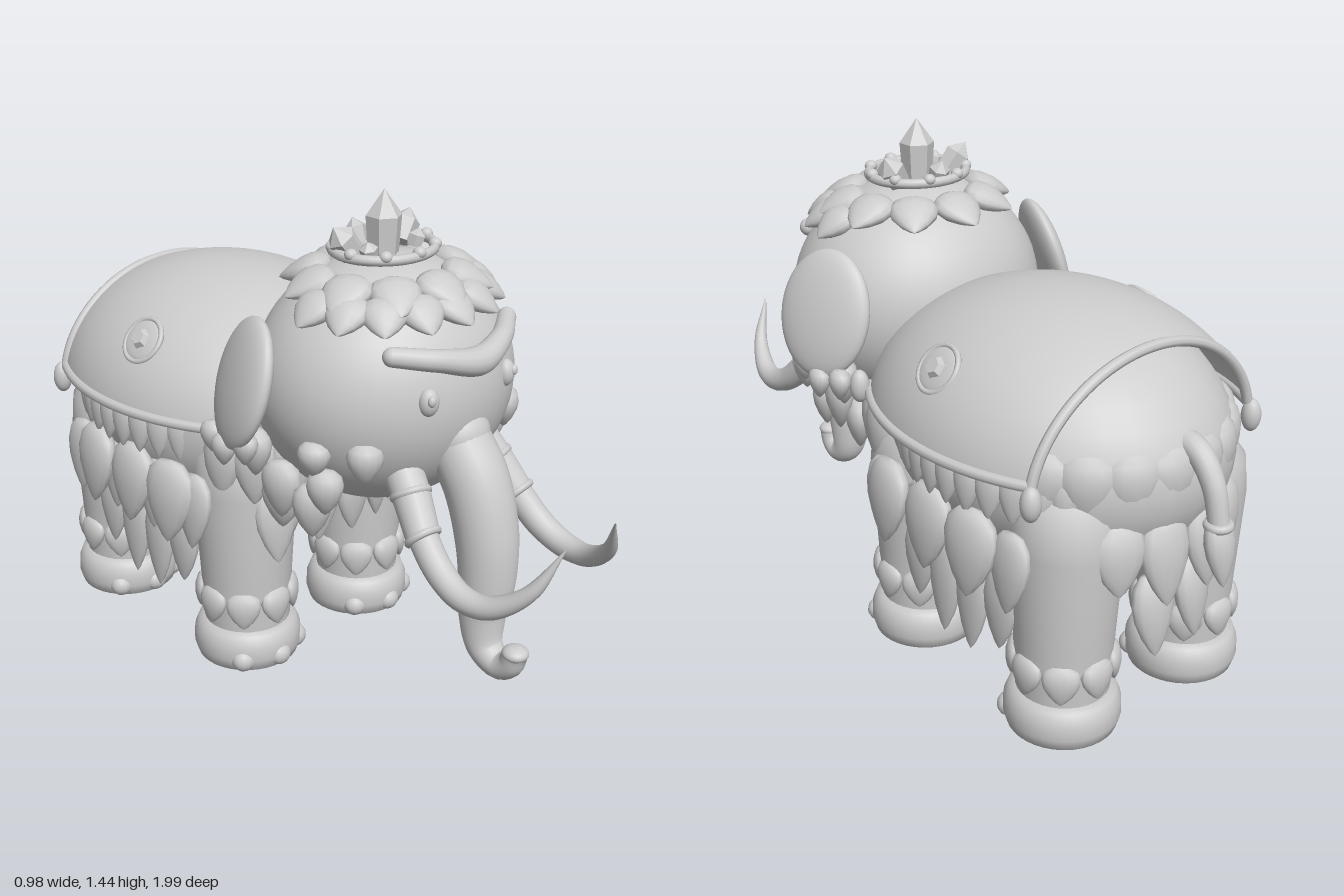
import * as THREE from 'three';
import { ParametricGeometry } from 'three/addons/geometries/ParametricGeometry.js';

const stone = new THREE.MeshStandardMaterial({ color: 0xcccccc, side: THREE.DoubleSide });
stone.name = 'stone grey';

const V = (x, y, z) => new THREE.Vector3(x, y, z);
const ball = new THREE.SphereGeometry(1, 32, 20);
const smallBall = new THREE.SphereGeometry(1, 14, 10);
const lathe = (pts, n) => new THREE.LatheGeometry(pts.map(([x, y]) => new THREE.Vector2(x, y)), n);

// Rounded leaf hanging from its top, pointed at the bottom; outward is +z
const leafGeo = lathe([[0, -1], [0.12, -0.93], [0.3, -0.76], [0.45, -0.54], [0.5, -0.34], [0.44, -0.15], [0.26, -0.03], [0, 0]], 14);

function add(parent, name, geo, pos = [0, 0, 0], scale = [1, 1, 1], rot = [0, 0, 0]) {
  const m = new THREE.Mesh(geo, stone);
  m.name = name;
  m.position.set(...pos);
  m.scale.set(...scale);
  m.rotation.set(...rot, 'YXZ');
  parent.add(m);
  return m;
}

function group(parent, name) {
  const g = new THREE.Group();
  g.name = name;
  parent.add(g);
  return g;
}

// Leaf facing azimuth az, its tip swung outward by tilt
function leaf(parent, name, pos, az, tilt, w, l, th = 0.05) {
  return add(parent, name, leafGeo, pos, [w, l, th], [-tilt, az, 0]);
}

// Leaves around an oval, from angle a0 to a1 (0 is the front)
function leafRing(parent, name, { n, cz = 0, rx, rz, y, w, l, th = 0.05, tilt = 0.1, a0 = 0, a1 = Math.PI * 2 }) {
  const full = a1 - a0 > 6.28;
  for (let i = 0; i < n; i++) {
    const a = a0 + (a1 - a0) * i / (full ? n : n - 1);
    const s = Math.sin(a), q = Math.cos(a);
    leaf(parent, name, [rx * s, y, cz + rz * q], Math.atan2(s / rx, q / rz), tilt, w, l, th);
  }
}

// Tube whose radius follows a list of values
function taperTube(points, radii, n = 40, sides = 20) {
  const curve = new THREE.CatmullRomCurve3(points);
  const geo = new THREE.TubeGeometry(curve, n, 1, sides);
  const p = geo.attributes.position, v = V(0, 0, 0);
  for (let i = 0; i <= n; i++) {
    const t = i / n, f = t * (radii.length - 1), j = Math.min(Math.floor(f), radii.length - 2);
    const r = THREE.MathUtils.lerp(radii[j], radii[j + 1], f - j), c = curve.getPointAt(t);
    for (let s = 0; s <= sides; s++) {
      const id = i * (sides + 1) + s;
      v.fromBufferAttribute(p, id).sub(c).multiplyScalar(r).add(c);
      p.setXYZ(id, v.x, v.y, v.z);
    }
  }
  return geo;
}

// Saddle cloth surface: u across the back, v from front to rear
function cloth(u, v, out) {
  const z = 0.05 - 0.74 * v, f = Math.sqrt(1 - ((z + 0.36) / 0.59) ** 2);
  const e = Math.asin(0.06 / (0.39 * f)), a = e + (Math.PI - 2 * e) * u;
  return out.set(0.48 * f * Math.cos(a), 0.72 + 0.39 * f * Math.sin(a), z);
}

function buildBody(root) {
  const g = group(root, 'body');
  add(g, 'torso', ball, [0, 0.72, -0.36], [0.43, 0.36, 0.52]);
  add(g, 'neck', ball, [0, 0.78, 0.05], [0.27, 0.26, 0.2]);
  for (const s of [1, -1]) {
    // Flank: fringe under the cloth, then large and lower leaves between the legs
    leafRing(g, 'fringeLeaf', { n: 13, cz: -0.38, rx: 0.425, rz: 0.44, y: 0.785, w: 0.085, l: 0.15, a0: s * 0.6, a1: s * 2.4 });
    for (let i = 0; i < 3; i++)
      leaf(g, 'skirtLeaf', [s * 0.415, 0.65, -0.15 - 0.175 * i], s * (1.45 + 0.12 * i), 0.12, 0.18, 0.25, 0.08);
    for (let i = 0; i < 4; i++) {
      leaf(g, 'skirtUnderLeaf', [s * 0.385, 0.62, -0.08 - 0.18 * i], s * Math.PI / 2, 0.1, 0.14, 0.23, 0.06);
      leaf(g, 'lowerSkirtLeaf', [s * 0.345, 0.46, -0.19 - 0.115 * i], s * Math.PI / 2, 0.05, 0.13, i % 3 ? 0.3 : 0.24, 0.06);
      leaf(g, 'bellyLeaf', [s * 0.2, 0.48, -0.22 - 0.09 * i], s * Math.PI / 2, 0.05, 0.11, 0.22);
    }
    // Stack of leaves behind, between the rear legs
    for (const [x, y, z, w, l] of [[0.07, 0.65, -0.83, 0.15, 0.25], [0.19, 0.65, -0.79, 0.15, 0.2], [0.07, 0.47, -0.8, 0.13, 0.24]])
      leaf(g, 'rearLeaf', [s * x, y, z], Math.PI - s * x * 2, 0.15, w, l, 0.07);
    leaf(g, 'chestLeaf', [s * 0.24, 0.6, 0.09], s * 0.3, 0.1, 0.13, 0.24, 0.06);
  }
  // Chest plumage
  leafRing(g, 'chestLeaf', { n: 9, cz: -0.05, rx: 0.34, rz: 0.25, y: 0.77, w: 0.13, l: 0.21, a0: -1.4, a1: 1.4, th: 0.08 });
  leafRing(g, 'chestLeaf', { n: 7, cz: -0.05, rx: 0.3, rz: 0.21, y: 0.61, w: 0.12, l: 0.21, a0: -1.2, a1: 1.2, tilt: 0, th: 0.06 });
  // Rump plumage
  leafRing(g, 'rumpLeaf', { n: 8, cz: -0.38, rx: 0.39, rz: 0.45, y: 0.84, w: 0.16, l: 0.19, a0: 2.2, a1: 4.08, th: 0.09, tilt: 0.08 });
  // Tail with tuft
  const tail = [V(0, 0.84, -0.79), V(0, 0.82, -0.87), V(0, 0.75, -0.925), V(0, 0.64, -0.953)];
  add(g, 'tail', taperTube(tail, [0.035, 0.034, 0.03, 0.027], 20, 14));
  leaf(g, 'tailTuft', [0, 0.67, -0.945], Math.PI, 0.19, 0.095, 0.19, 0.065);
  add(g, 'tailRing', new THREE.TorusGeometry(0.028, 0.012, 8, 18), [0, 0.65, -0.95], [1, 1, 1], [Math.PI / 2, 0, 0]);
}

function buildSaddle(root) {
  const g = group(root, 'saddleCloth');
  add(g, 'cloth', new ParametricGeometry(cloth, 48, 24));
  const edge = (name, fn) => {
    const pts = Array.from({ length: 25 }, (_, i) => cloth(...fn(i / 24), V(0, 0, 0)));
    add(g, name, new THREE.TubeGeometry(new THREE.CatmullRomCurve3(pts), 48, 0.015, 8));
  };
  edge('sideHem', t => [0, t]);
  edge('sideHem', t => [1, t]);
  edge('rearPiping', t => [t, 1]);
  for (const s of [1, -1]) {
    for (const [x, y, z] of [[0.4, 0.74, -0.7], [0.38, 0.79, 0.04]])
      add(g, 'cornerTassel', smallBall, [s * x, y, z], [0.028, 0.048, 0.028]);
    // Medallion with a cut gem
    const m = group(g, 'medallion');
    m.position.set(s * 0.375, 0.958, -0.31);
    m.lookAt(s * 2.175, 2.358, -0.25);
    add(m, 'medallionDisc', ball, [0, 0, 0], [0.07, 0.062, 0.012]);
    add(m, 'medallionRim', new THREE.TorusGeometry(0.066, 0.008, 8, 32));
    const gem = new THREE.CylinderGeometry(0.022, 0.034, 0.02, 6).toNonIndexed();
    gem.computeVertexNormals();
    add(m, 'gem', gem, [0, 0, 0.016], [1, 1, 1], [Math.PI / 2, 0, 0]);
  }
}

function buildLegs(root) {
  const footGeo = lathe([[0, 0], [0.13, 0], [0.15, 0.012], [0.16, 0.045], [0.158, 0.085], [0.145, 0.118], [0.122, 0.13], [0, 0.13]], 36);
  const legGeo = lathe([[0.126, 0.1], [0.136, 0.3], [0.151, 0.56], [0.142, 0.66], [0.1, 0.72], [0, 0.75]], 32);
  for (const z of [-0.05, -0.65]) for (const s of [1, -1]) {
    const g = group(root, z > -0.3 ? 'frontLeg' : 'rearLeg');
    g.position.set(s * 0.23, 0, z);
    add(g, 'leg', legGeo);
    add(g, 'foot', footGeo);
    for (const a of [-0.8, 0, 0.8])
      add(g, 'toe', smallBall, [0.14 * Math.sin(a), 0.043, 0.14 * Math.cos(a)], [0.037, 0.035, 0.034]);
    leafRing(g, 'ankletLeaf', { n: 8, rx: 0.124, rz: 0.124, y: 0.257, w: 0.105, l: 0.115, tilt: 0.12 });
  }
}

function buildHead(root) {
  const g = group(root, 'head');
  const c = [0, 0.93, 0.275], R = [0.38, 0.34, 0.337];
  add(g, 'skull', new THREE.SphereGeometry(1, 48, 32), c, R);

  // Trunk
  const trunk = [[0.83, 0.54], [0.72, 0.62], [0.58, 0.665], [0.45, 0.675], [0.33, 0.665], [0.24, 0.68], [0.205, 0.73], [0.225, 0.77], [0.26, 0.785]];
  add(g, 'trunk', taperTube(trunk.map(([y, z]) => V(0, y, z)), [0.088, 0.091, 0.089, 0.086, 0.08, 0.071, 0.058, 0.042, 0.034], 60, 24));
  add(g, 'trunkRoot', ball, [0, 0.835, 0.55], [0.089, 0.085, 0.085]);
  add(g, 'trunkTip', ball, [0, 0.265, 0.785], [0.037, 0.022, 0.037]);

  // Forehead band
  const brow = [[-0.22, 1.098, 0.515], [-0.12, 1.08, 0.58], [0, 1.058, 0.61], [0.12, 1.08, 0.58], [0.22, 1.098, 0.515]];
  add(g, 'foreheadBand', taperTube(brow.map(p => V(...p)), [0.026, 0.03, 0.04, 0.03, 0.026], 40, 14));

  // Leaf on the skull at polar angle p and azimuth a
  const crownLeaf = (p, a, lift, w, l) => leaf(g, 'crownLeaf', [
    R[0] * Math.sin(p) * Math.sin(a), c[1] + R[1] * Math.cos(p), c[2] + R[2] * Math.sin(p) * Math.cos(a)],
    a, Math.PI / 2 - p + lift, w, l, 0.07);
  for (let i = 0; i < 10; i++) crownLeaf(0.43, i * Math.PI / 5, 0.08, 0.14, 0.15);
  for (let i = -4; i <= 4; i++) crownLeaf(0.62, i * 0.38, 0.12, 0.125, 0.13);

  for (const s of [1, -1]) {
    add(g, 'foreheadBandEnd', smallBall, [s * 0.22, 1.098, 0.515], [0.026, 0.026, 0.026]);
    add(g, 'ear', ball, [s * 0.405, 0.975, 0.16], [0.045, 0.18, 0.145], [0, s * 0.35, s * 0.28]);
    for (const [x, y, z] of [[0.43, 0.845, 0.06], [0.45, 0.835, 0.13], [0.445, 0.86, 0.21]])
      leaf(g, 'earPendant', [s * x, y, z], s * 1.4, 0.05, 0.075, 0.09, 0.06);
    add(g, 'eye', smallBall, [s * 0.15, 0.975, 0.578], [0.028, 0.038, 0.025], [0, s * 0.4, 0]);
    add(g, 'pupil', smallBall, [s * 0.159, 0.985, 0.598], [0.012, 0.015, 0.01]);
    // Cheek and jaw leaves
    const jaw = [[0.275, 0.87, 0.48, 0.6, 0.1, 0.12], [0.35, 0.86, 0.37, 0.9, 0.09, 0.1], [0.33, 0.78, 0.39, 0.9, 0.1, 0.13],
      [0.31, 0.71, 0.32, 0.8, 0.11, 0.16], [0.33, 0.75, 0.22, 1.3, 0.12, 0.17], [0.29, 0.68, 0.18, 1.1, 0.12, 0.16], [0.36, 0.83, 0.15, 1.4, 0.1, 0.14]];
    for (const [x, y, z, az, w, l] of jaw) leaf(g, 'jawLeaf', [s * x, y, z], s * az, 0, w, l, 0.08);

    // Tusk with banded sleeve
    const t = [[0.145, 0.79, 0.47], [0.165, 0.71, 0.54], [0.19, 0.62, 0.61], [0.203, 0.545, 0.69], [0.208, 0.51, 0.77],
      [0.197, 0.515, 0.85], [0.16, 0.58, 0.94], [0.1, 0.7, 0.995]].map(p => V(s * p[0], p[1], p[2]));
    add(g, 'tusk', taperTube(t, [0.04, 0.041, 0.041, 0.039, 0.035, 0.028, 0.018, 0.002], 48, 16));
    add(g, 'tuskSleeve', taperTube(t.slice(0, 3), [0.055, 0.052, 0.046], 12, 18));
    for (const [i, r] of [[0, 0.048], [1, 0.047], [2, 0.042]]) {
      const ring = add(g, 'tuskRing', new THREE.TorusGeometry(r, 0.011, 8, 24), t[i].toArray());
      ring.quaternion.setFromUnitVectors(V(0, 0, 1), t[i + 1].clone().sub(t[i]).normalize());
    }
  }

  // Crown: ring, beads and hexagonal crystals
  const crown = group(g, 'crown');
  crown.position.set(0, 1.285, 0.265);
  add(crown, 'crownRing', new THREE.TorusGeometry(0.145, 0.014, 10, 40), [0, 0, 0], [1, 0.9, 1], [Math.PI / 2, 0, 0]);
  const crystal = lathe([[0, 0], [0.85, 0], [1, 0.62], [0, 1]], 6).toNonIndexed();
  crystal.computeVertexNormals();
  add(crown, 'mainCrystal', crystal, [0, -0.03, 0], [0.05, 0.185, 0.05]);
  // Crystal mounts: azimuth, width, height, outward lean
  for (const [a, w, h, lean] of [[1.85, 0.04, 0.1, 0.65], [-1.85, 0.04, 0.1, 0.65], [Math.PI, 0.03, 0.07, 0.4], [1.2, 0.025, 0.05, 0.3], [-1.2, 0.025, 0.05, 0.3]]) {
    const q = group(crown, 'crystalMount');
    q.rotation.y = a;
    add(q, 'sideCrystal', crystal, [0, -0.01, 0.09], [w, h, w], [lean, 0, 0]);
  }
  for (let i = 0; i < 9; i++) {
    const a = i * Math.PI * 2 / 9;
    add(crown, 'crownBead', smallBall, [0.145 * Math.sin(a), 0.01, 0.13 * Math.cos(a)], [0.018, 0.016, 0.018]);
  }
}

export function createModel() {
  const root = new THREE.Group();
  root.name = 'elephant';
  buildBody(root);
  buildSaddle(root);
  buildLegs(root);
  buildHead(root);
  return root;
}
